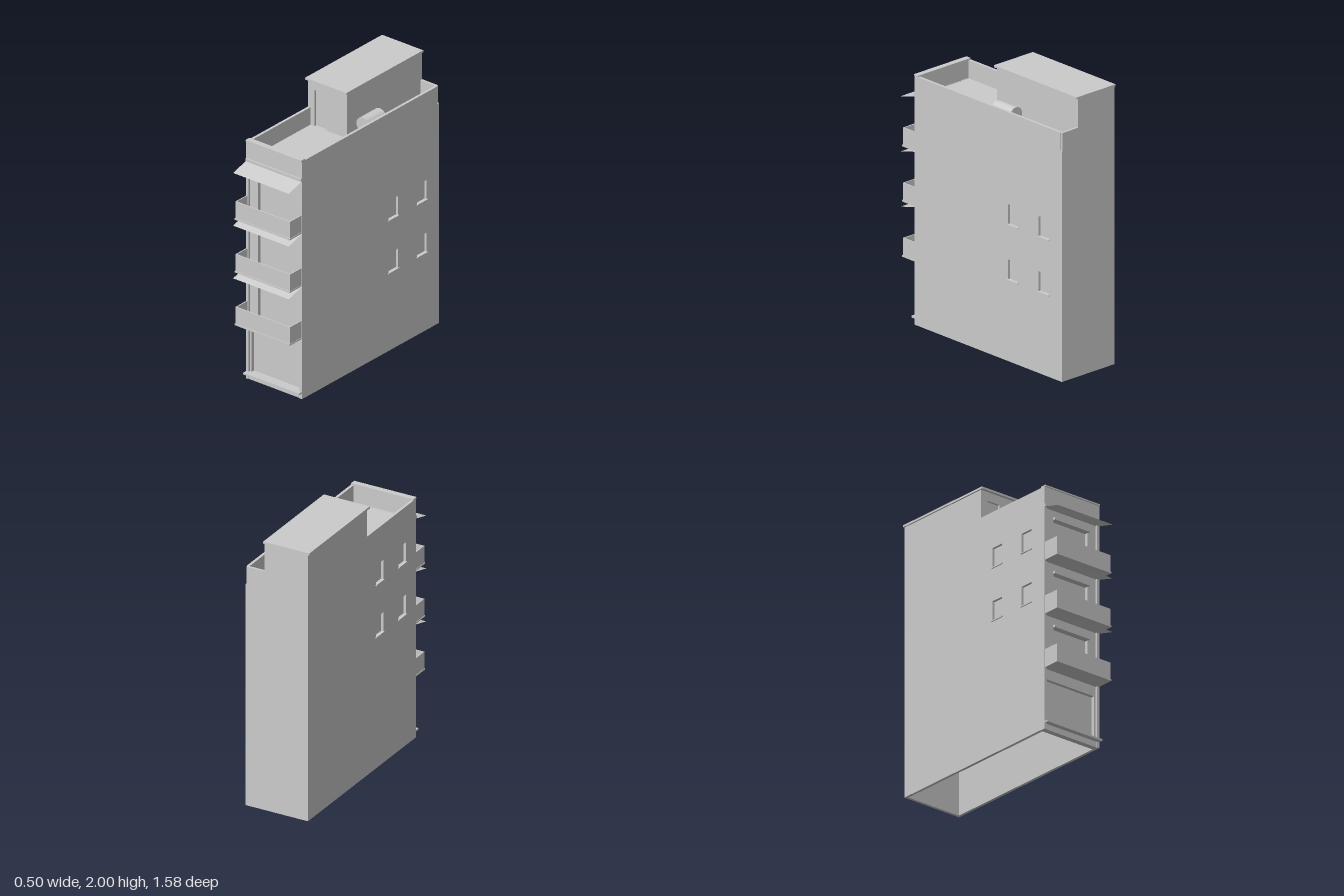
import * as THREE from 'three';

const mat = new THREE.MeshStandardMaterial({ color: 0xcccccc, flatShading: true, side: THREE.DoubleSide });

export function createModel() {
  const model = new THREE.Group();

  function add(name, geometry, parent = model) {
    const mesh = new THREE.Mesh(geometry, mat);
    mesh.name = name;
    parent.add(mesh);
    return mesh;
  }
  // box given by its limits
  function box(name, x0, x1, y0, y1, z0, z1, parent) {
    const g = new THREE.BoxGeometry(x1 - x0, y1 - y0, z1 - z0);
    g.translate((x0 + x1) / 2, (y0 + y1) / 2, (z0 + z1) / 2);
    return add(name, g, parent);
  }
  // flat wall from an outline, with rectangular openings [u0, u1, v0, v1]
  function wallGeometry(outline, openings, depth) {
    const shape = new THREE.Shape(outline.map(([u, v]) => new THREE.Vector2(u, v)));
    for (const [u0, u1, v0, v1] of openings) {
      shape.holes.push(new THREE.Path([[u0, v0], [u0, v1], [u1, v1], [u1, v0]].map(([u, v]) => new THREE.Vector2(u, v))));
    }
    return new THREE.ExtrudeGeometry(shape, { depth, bevelEnabled: false });
  }

  const W = 0.24, T = 0.02, ROOF = 1.65, PARAPET = 1.78, BACK = -0.788, FRONT = 0.65;

  // side walls with recessed windows and sills
  const sides = [
    { name: 'left', s: 1, zs: [-0.66, -0.36], ys: [0.585, 0.98],
      outline: [[-FRONT, 0], [-BACK, 0], [-BACK, ROOF], [0.77, ROOF], [0.77, PARAPET], [-FRONT, PARAPET]] },
    { name: 'right', s: -1, zs: [0.115, 0.415], ys: [0.98, 1.37],
      outline: [[-FRONT, 0], [-BACK, 0], [-BACK, ROOF], [0, ROOF], [0, PARAPET], [-FRONT, PARAPET]] },
  ];
  for (const { name, s, zs, ys, outline } of sides) {
    const openings = [];
    for (const z of zs) for (const y of ys) {
      openings.push([-z - 0.1, -z, y, y + 0.143]);
      const pane = s * (W - T), sill = s * (W + 0.008);
      box(name + 'WindowPane', pane - 0.002, pane + 0.002, y, y + 0.143, z, z + 0.1);
      box(name + 'WindowSill', Math.min(pane, sill), Math.max(pane, sill), y - 0.007, y, z - 0.005, z + 0.105);
    }
    const g = wallGeometry(outline, openings, T);
    g.rotateY(Math.PI / 2);
    g.translate(s > 0 ? W - T : -W, 0, 0);
    add(name + 'Wall', g);
  }

  // back wall, roof deck and parapets; the shell is open underneath
  box('backWall', -W + T, W - T, 0, ROOF, BACK, BACK + T);
  box('roofDeck', -W + T, W - T, ROOF - 0.02, ROOF, BACK + T, 0.615);
  box('rearParapet', 0.095, W - 0.006, ROOF, PARAPET, BACK, -0.77);
  box('frontParapet', -W + T, W - T, ROOF, PARAPET, 0.615, 0.648);
  box('frontCoping', -W, W, PARAPET, 1.79, 0.615, 0.657);
  box('frontCornice', -W, W, 1.632, 1.652, 0.61, 0.66);

  // front wall with openings for the garage and three balcony doors
  const storeys = [0.45, 0.845, 1.24];
  const openings = [[-0.205, 0.205, 0.055, 0.375]];
  for (const y of storeys) openings.push([-0.15, 0.15, y + 0.02, y + 0.32]);
  const inner = W - T;
  const front = add('frontWall', wallGeometry(
    [[-inner, 0], [inner, 0], [inner, 1.635], [-inner, 1.635]], openings, 0.03));
  front.position.z = 0.605;
  box('garageDoor', -0.205, 0.205, 0.055, 0.375, 0.605, 0.61);
  box('plinth', -inner, inner, 0, 0.042, 0.63, 0.645);
  box('threshold', -W, W, 0.042, 0.055, 0.61, 0.682);

  // one set of door, balcony and awning per storey
  for (const y of storeys) {
    const storey = new THREE.Group();
    storey.name = 'storey';
    model.add(storey);
    box('balconyDoor', -0.15, 0.15, y + 0.02, y + 0.32, 0.605, 0.61, storey);
    box('doorLintel', -0.155, 0.155, y + 0.32, y + 0.338, 0.63, 0.657, storey);
    box('balconyFloor', -0.238, 0.238, y, y + 0.01, 0.63, 0.776, storey);
    box('balconyFront', -0.235, 0.235, y + 0.01, y + 0.135, 0.762, 0.77, storey);
    for (const s of [-1, 1]) {
      const a = s * 0.227, b = s * 0.235;
      box('balconySide', Math.min(a, b), Math.max(a, b), y + 0.01, y + 0.135, 0.645, 0.762, storey);
    }
    // thin sloping sheet
    const rise = 0.037, run = 0.138;
    const sheet = new THREE.PlaneGeometry(2 * W, Math.hypot(rise, run));
    sheet.rotateX(-Math.PI / 2 + Math.atan2(rise, run));
    sheet.translate(0, y + 0.373, FRONT + run / 2);
    add('awning', sheet, storey);
  }

  // stair house on the roof
  const house = new THREE.Group();
  house.name = 'stairHouse';
  model.add(house);
  box('houseBody', -W, 0.095, ROOF, 1.985, BACK, -0.015, house);
  const houseFront = add('houseFront', wallGeometry(
    [[-W, ROOF], [0.095, ROOF], [0.095, 1.985], [-W, 1.985]], [[-0.185, -0.08, ROOF + 0.001, 1.92]], 0.015), house);
  houseFront.position.z = -0.015;
  box('houseRoof', -0.25, 0.105, 1.985, 2, BACK, 0.02, house);

  // water tank lying on the deck
  const tank = new THREE.CylinderGeometry(0.055, 0.055, 0.18, 20);
  tank.rotateX(Math.PI / 2);
  tank.translate(0.165, 1.74, -0.17);
  add('waterTank', tank);

  return model;
}
